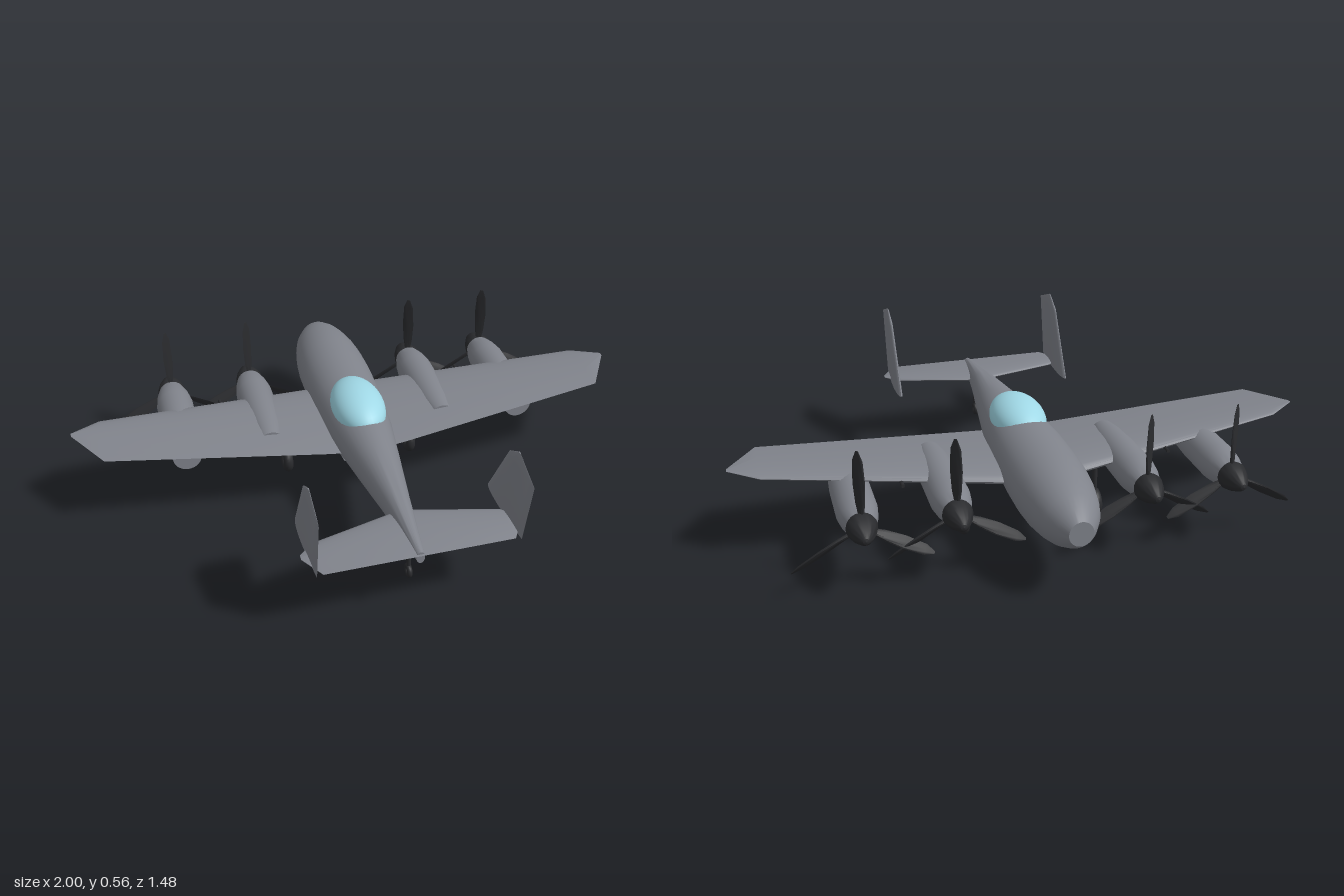
import * as THREE from 'three';
import { toCreasedNormals } from 'three/addons/utils/BufferGeometryUtils.js';

const skin = new THREE.MeshStandardMaterial({ color: 0x80838b });
const openSkin = new THREE.MeshStandardMaterial({ color: 0x80838b, side: THREE.DoubleSide });
const dark = new THREE.MeshStandardMaterial({ color: 0x2a2b2e });
const glass = new THREE.MeshStandardMaterial({ color: 0xa0d8e6 });

function add(parent, name, geometry, material, x = 0, y = 0, z = 0) {
  const mesh = new THREE.Mesh(geometry, material);
  mesh.name = name;
  mesh.position.set(x, y, z);
  parent.add(mesh);
  return mesh;
}

// Joins closed rings of points into a skin, with optional end caps.
function loft(rings, capStart = true, capEnd = true, crease = 0.6) {
  const n = rings[0].length;
  const tris = [];
  for (let i = 0; i < rings.length - 1; i++) {
    for (let j = 0; j < n; j++) {
      const k = (j + 1) % n;
      const [a, b, c, d] = [rings[i][j], rings[i][k], rings[i + 1][k], rings[i + 1][j]];
      tris.push([a, b, c], [a, c, d]);
    }
  }
  const last = rings[rings.length - 1];
  for (let j = 1; j < n - 1; j++) {
    if (capStart) tris.push([rings[0][0], rings[0][j + 1], rings[0][j]]);
    if (capEnd) tris.push([last[0], last[j], last[j + 1]]);
  }
  // A negative enclosed volume means the faces point inwards
  const volume = tris.reduce((sum, [a, b, c]) => sum + a.dot(b.clone().cross(c)), 0);
  if (volume < 0) tris.forEach((t) => t.reverse());
  const geometry = new THREE.BufferGeometry().setFromPoints(tris.flat());
  return toCreasedNormals(geometry, crease);
}

// Elliptical ring across the z axis
function ellipse([z, y, rx, ry], n = 32) {
  return Array.from({ length: n }, (_, i) => {
    const t = (i / n) * Math.PI * 2;
    return new THREE.Vector3(rx * Math.cos(t), y + ry * Math.sin(t), z);
  });
}

// Airfoil ring from leading edge z0 to trailing edge z1
function airfoil(span, height, z0, z1, thickness, upright = false, n = 28) {
  return Array.from({ length: n }, (_, i) => {
    const t = (i / n) * Math.PI * 2;
    const u = (1 - Math.cos(t)) / 2;
    const half = 5 * thickness * (0.2969 * Math.sqrt(u) - 0.126 * u - 0.3516 * u ** 2 + 0.2843 * u ** 3 - 0.1036 * u ** 4);
    const off = Math.sign(Math.sin(t)) * half;
    const z = z0 + (z1 - z0) * u;
    return upright ? new THREE.Vector3(off, span, z) : new THREE.Vector3(span, height + off, z);
  });
}

// Lathe around z: points are [radius, z]
function turned(points, segments = 28) {
  const g = new THREE.LatheGeometry(points.map(([r, z]) => new THREE.Vector2(r, -z)), segments);
  return toCreasedNormals(g.rotateX(-Math.PI / 2), 0.7);
}

function propeller() {
  const prop = new THREE.Group();
  prop.name = 'propeller';
  add(prop, 'spinner', turned([[0, -0.46], [0.044, -0.46], [0.05, -0.485], [0.042, -0.515], [0.026, -0.55], [0.01, -0.571], [0, -0.575]]), dark);
  const blade = loft([[0.02, 0.012, 0.014], [0.08, 0.034, 0.012], [0.15, 0.044, 0.009], [0.225, 0.036, 0.006], [0.258, 0.01, 0.003]]
    .map(([r, chord, thick]) => airfoil(r, 0, -chord / 2, chord / 2, thick, true, 12)));
  for (let i = 0; i < 3; i++) {
    const arm = new THREE.Group();
    arm.position.z = -0.48;
    arm.rotation.z = (i * Math.PI * 2) / 3;
    add(arm, 'blade', blade, dark).rotation.y = 0.9;
    prop.add(arm);
  }
  return prop;
}

function wheel(parent, name, x, y, z, ring, tube) {
  add(parent, name, new THREE.TorusGeometry(ring, tube, 12, 28).rotateY(Math.PI / 2), dark, x, y, z);
}

// Everything on the +x side
function side() {
  const half = new THREE.Group();
  add(half, 'wing', loft([
    airfoil(0, 0.24, -0.35, 0.085, 0.062),
    airfoil(0.14, 0.25, -0.335, 0.075, 0.056),
    airfoil(0.9, 0.321, -0.235, 0.006, 0.018),
    airfoil(1, 0.331, -0.172, -0.155, 0.003),
  ]), skin);

  // Engines
  for (const x of [0.32, 0.62]) {
    const engine = new THREE.Group();
    engine.name = 'engine';
    engine.position.set(x, 0.24, 0);
    add(engine, 'nacelle', turned([[0, -0.05], [0.05, -0.05], [0.06, -0.12], [0.066, -0.22], [0.067, -0.38], [0.06, -0.43], [0.046, -0.48], [0, -0.48]]), skin);
    engine.add(propeller());
    half.add(engine);
  }
  add(half, 'wingGun', new THREE.CylinderGeometry(0.006, 0.006, 0.12, 10).rotateX(Math.PI / 2), dark, 0.46, 0.275, -0.26);

  // Tail surfaces
  add(half, 'tailplane', loft([
    airfoil(0, 0.28, 0.465, 0.692, 0.022),
    airfoil(0.31, 0.28, 0.545, 0.692, 0.018),
    airfoil(0.36, 0.28, 0.59, 0.61, 0.004),
  ]), skin);
  add(half, 'fin', loft([
    airfoil(0.272, 0, 0.4, 0.692, 0.024, true),
    airfoil(0.512, 0, 0.541, 0.738, 0.017, true),
    airfoil(0.555, 0, 0.608, 0.622, 0.004, true),
  ]), skin, 0.33);

  // Main landing gear
  wheel(half, 'mainWheel', 0.24, 0.053, -0.2, 0.035, 0.018);
  add(half, 'mainStrut', new THREE.CylinderGeometry(0.009, 0.009, 0.17, 12), dark, 0.24, 0.175, -0.2);
  return half;
}

export function createModel() {
  const plane = new THREE.Group();
  plane.name = 'aeroplane';

  // Fuselage stations: z, centre height, half width, half height
  const stations = [
    [-0.738, 0.259, 0.04, 0.042], [-0.7, 0.258, 0.066, 0.07], [-0.65, 0.257, 0.092, 0.093],
    [-0.6, 0.257, 0.107, 0.107], [-0.53, 0.258, 0.12, 0.12], [-0.45, 0.26, 0.128, 0.125],
    [-0.35, 0.263, 0.13, 0.123], [-0.2, 0.267, 0.126, 0.118], [0, 0.268, 0.11, 0.108],
    [0.2, 0.27, 0.081, 0.087], [0.42, 0.273, 0.048, 0.06], [0.6, 0.27, 0.025, 0.035],
    [0.685, 0.268, 0.014, 0.022],
  ];
  add(plane, 'fuselage', loft(stations.map((s) => ellipse(s))), skin);

  // Belly scoop, open at the rear
  const scoop = [
    [-0.58, 0.185, 0.02, 0.012], [-0.5, 0.175, 0.065, 0.042], [-0.38, 0.168, 0.083, 0.046],
    [-0.2, 0.164, 0.085, 0.045], [-0.1, 0.156, 0.078, 0.031], [-0.01, 0.146, 0.065, 0.012],
  ];
  add(plane, 'bellyScoop', loft(scoop.map((s) => ellipse(s)), true, false), openSkin);

  add(plane, 'canopy', new THREE.SphereGeometry(1, 36, 24).scale(0.094, 0.077, 0.161), glass, 0, 0.343, -0.055);

  // Tail wheel
  wheel(plane, 'tailWheel', 0, 0.112, 0.57, 0.016, 0.009);
  add(plane, 'tailStrut', new THREE.CylinderGeometry(0.007, 0.007, 0.06, 12), dark, 0, 0.16, 0.57);

  const left = side();
  left.name = 'leftSide';
  const right = side();
  right.name = 'rightSide';
  right.scale.x = -1;
  plane.add(left, right);
  return plane;
}
